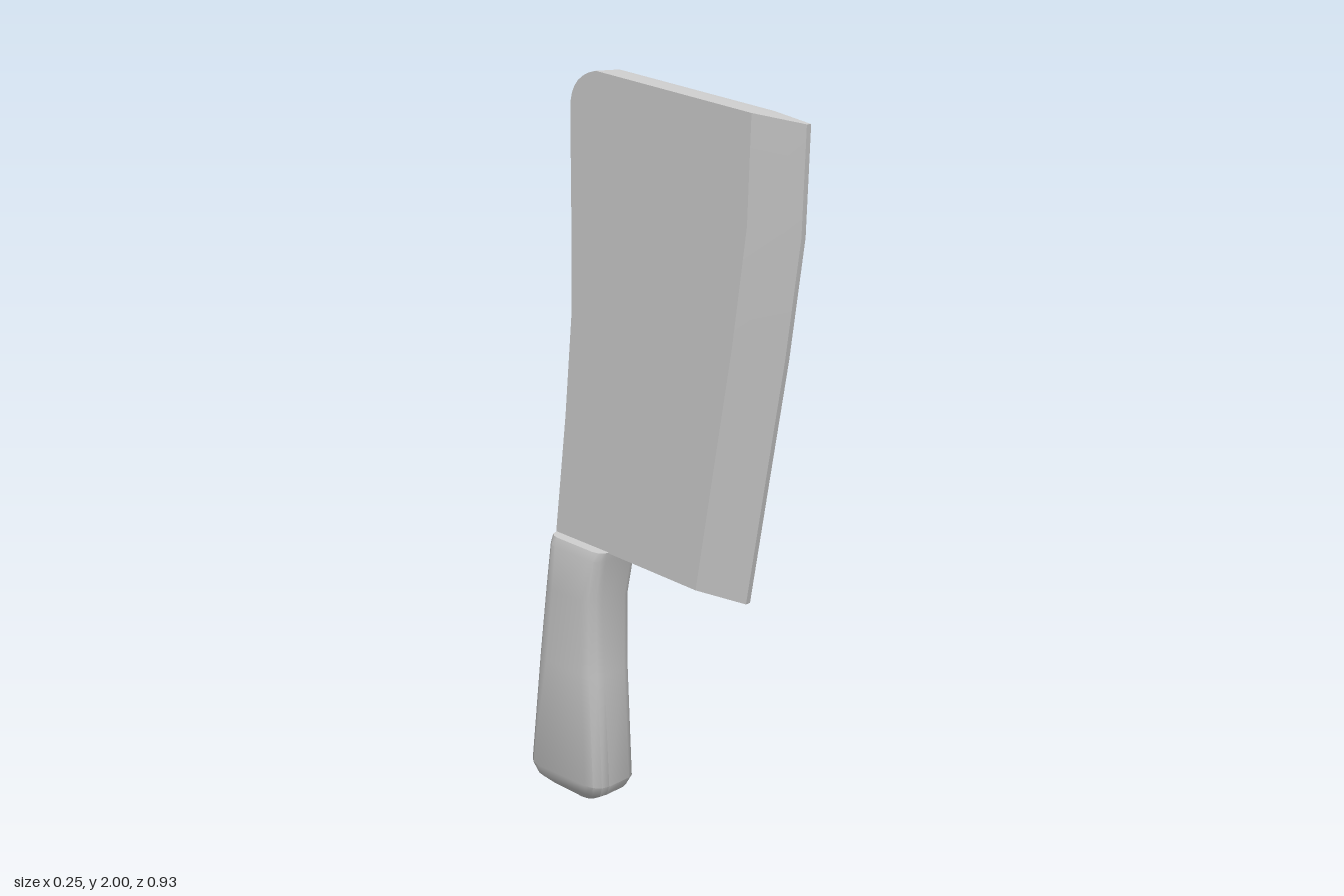
import * as THREE from 'three';
import { toCreasedNormals } from 'three/addons/utils/BufferGeometryUtils.js';

// Skin a stack of closed sections (bottom to top, each counterclockwise from above) and cap both ends
function loft(name, sections, crease) {
  const pos = [];
  const tri = (a, b, c) => {
    const area = b.clone().sub(a).cross(c.clone().sub(a)).length();
    if (area > 1e-7) for (const p of [a, b, c]) pos.push(p.x, p.y, p.z);
  };
  for (let r = 0; r < sections.length - 1; r++) {
    const lo = sections[r], hi = sections[r + 1];
    lo.forEach((p, i) => {
      const j = (i + 1) % lo.length;
      tri(p, lo[j], hi[j]);
      tri(p, hi[j], hi[i]);
    });
  }
  const first = sections[0], last = sections[sections.length - 1];
  for (let i = 1; i < first.length - 1; i++) {
    tri(first[0], first[i + 1], first[i]);
    tri(last[0], last[i], last[i + 1]);
  }
  const geometry = new THREE.BufferGeometry();
  geometry.setAttribute('position', new THREE.Float32BufferAttribute(pos, 3));
  const mesh = new THREE.Mesh(
    toCreasedNormals(geometry, crease),
    new THREE.MeshStandardMaterial({ color: 0xcccccc })
  );
  mesh.name = name;
  return mesh;
}

function createBlade() {
  // [cutting edge z, y, spine z, y]
  const rows = [
    [0.255, 0.667, -0.338, 0.775],
    [0.322, 0.99, -0.286, 1.1],
    [0.39, 1.315, -0.249, 1.377],
    [0.444, 1.62, -0.233, 1.66],
    [0.465, 1.89, -0.222, 1.9],
  ];
  // Rounded upper corner of the spine
  const corner = new THREE.QuadraticBezierCurve(
    new THREE.Vector2(-0.222, 1.9), new THREE.Vector2(-0.22, 1.988), new THREE.Vector2(-0.135, 2));
  for (const p of corner.getPoints(7).slice(1)) rows.push([0.465, 1.89, p.x, p.y]);

  // The whole blade leans sideways
  const at = (side, z, y) => new THREE.Vector3(-0.01 - 0.055 * (y - 0.667) + side, y, z);
  const half = 0.048, edge = 0.009;
  const sections = rows.map(([ez, ey, bz, by]) => {
    const vz = ez - 0.13, vy = ey + 0.0236;
    return [
      at(edge, ez, ey), at(half, vz, vy), at(half, bz, by),
      at(-half, bz, by), at(-half, vz, vy), at(-edge, ez, ey),
    ];
  });
  return loft('blade', sections, 0.26);
}

function createHandle() {
  // [front z, y, back z, y, half width, corner radius]
  const rows = [
    [-0.268, 0.005, -0.425, 0.033, 0.05, 0.03],
    [-0.222, 0.03, -0.452, 0.06, 0.078, 0.042],
    [-0.205, 0.06, -0.465, 0.095, 0.09, 0.048],
    [-0.2, 0.385, -0.41, 0.42, 0.088, 0.045],
    [-0.19, 0.6, -0.37, 0.625, 0.088, 0.04],
    [-0.164, 0.72, -0.342, 0.75, 0.089, 0.034],
    [-0.158, 0.745, -0.335, 0.775, 0.082, 0.03],
  ];
  const steps = 3;
  const sections = rows.map(([fz, fy, bz, by, w, r]) => {
    const mid = (fz + bz) / 2, depth = (fz - bz) / 2;
    const points = [];
    // Rounded rectangle, one quarter arc per corner
    for (let q = 0; q < 4; q++) {
      const sx = q === 0 || q === 3 ? 1 : -1, sz = q < 2 ? -1 : 1;
      for (let s = 0; s <= steps; s++) {
        const a = (q + s / steps) * Math.PI / 2;
        const x = sx * (w - r) + r * Math.cos(a);
        const z = mid + sz * (depth - r) - r * Math.sin(a);
        const y = fy + (by - fy) * (fz - z) / (fz - bz);
        points.push(new THREE.Vector3(0.037 - 0.07 * y + x, y, z));
      }
    }
    return points;
  });
  return loft('handle', sections, 0.55);
}

export function createModel() {
  const group = new THREE.Group();
  group.name = 'cleaver';
  group.add(createBlade(), createHandle());
  return group;
}
